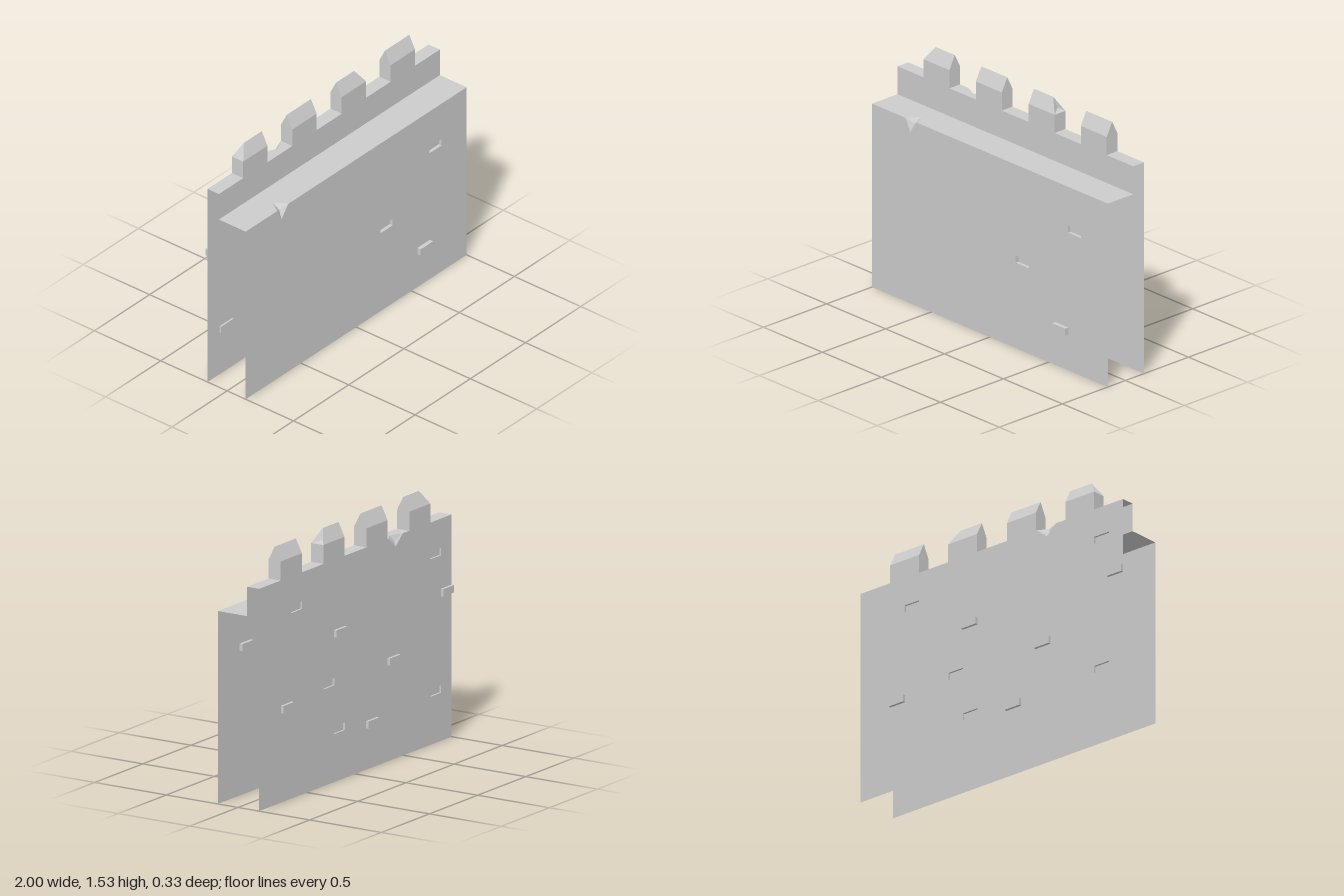
import * as THREE from 'three';

const FRONT = 0.14, PARAPET = -0.062, RIDGE = -0.105, BACK = -0.147;   // z planes
const WALK = 1.157, TOP = 1.333, EAVE = 1.447, PEAK = 1.53;            // heights
const BW = 0.112, BH = 0.044;                                          // brick face

// x range of each merlon, plus where its ridge starts and ends
const merlons = [
  { x0: -0.78, x1: -0.56, r0: -0.722, r1: -0.56 },
  { x0: -0.335, x1: -0.115, r0: -0.335, r1: -0.115 },
  { x0: 0.112, x1: 0.333, r0: 0.112, r1: 0.275, pit: [0.295, 1.465, -0.122] },
  { x0: 0.555, x1: 0.775, r0: 0.555, r1: 0.775 },
];

// brick centres on each face
const frontSunk = [[0.718, 0.89], [0.275, 0.56]];
const frontRaised = [[0.61, 0.248]];
const backSunk = [[0.61, 1.135], [0.275, 0.602], [0.165, 0.31], [-0.835, 1.135], [-0.835, 0.31]];
const backRaised = [[0.165, 0.89], [0.718, 0.56], [-0.39, 0.598], [-0.167, 0.27], [-0.944, 0.89]];

const material = new THREE.MeshStandardMaterial({
  color: 0xcccccc, flatShading: true, side: THREE.DoubleSide,
});

function flip(geometry) {
  const a = geometry.index.array;
  for (let i = 0; i < a.length; i += 3) [a[i], a[i + 1]] = [a[i + 1], a[i]];
  geometry.computeVertexNormals();
  return geometry;
}

function addMesh(group, name, geometry) {
  const mesh = new THREE.Mesh(geometry, material);
  mesh.name = name;
  group.add(mesh);
}

// flat polygons given as corner loops, counter-clockwise from outside
function facets(polygons) {
  const p = [];
  for (const c of polygons)
    for (let i = 1; i < c.length - 1; i++) p.push(...c[0], ...c[i], ...c[i + 1]);
  const g = new THREE.BufferGeometry();
  g.setAttribute('position', new THREE.Float32BufferAttribute(p, 3));
  g.computeVertexNormals();
  return g;
}

const toShape = (pts) => new THREE.Shape(pts.map(([x, y]) => new THREE.Vector2(x, y)));

// upright sheet with brick-sized openings
function sheet(outline, openings, z, facingBack) {
  const shape = toShape(outline);
  for (const [x, y] of openings) {
    const w = BW / 2, h = BH / 2;
    shape.holes.push(toShape([[x - w, y - h], [x - w, y + h], [x + w, y + h], [x + w, y - h]]));
  }
  const g = new THREE.ShapeGeometry(shape).translate(0, 0, z);
  return facingBack ? flip(g) : g;
}

// level sheet from x, z corners
function floor(outline, y) {
  const shape = toShape(outline.map(([x, z]) => [x, -z]));
  return new THREE.ShapeGeometry(shape).rotateX(-Math.PI / 2).translate(0, y, 0);
}

// five-sided brick: its face is at z1, its sides run back to the wall at z0
function brick([x, y], z0, z1) {
  const w = BW / 2, h = BH / 2;
  const ring = [[x - w, y - h], [x + w, y - h], [x + w, y + h], [x - w, y + h]];
  const sides = ring.map((a, i) => {
    const b = ring[(i + 1) % 4];
    return [[...a, z0], [...b, z0], [...b, z1], [...a, z1]];
  });
  const faces = [ring.map((c) => [...c, z1]), ...sides];
  return facets(z0 * (z1 > z0 ? 1 : -1) > 0 === z0 > 0 && z0 > 0 ? faces : faces.map((f) => f.reverse()));
}

// outline of a crenellated wall; gapEdge adds points along the first gap
function battlement(bottom, gapEdge = []) {
  const pts = [[-1, bottom], [1, bottom], [1, TOP]];
  for (let i = merlons.length - 1; i >= 0; i--) {
    const { x0, x1 } = merlons[i];
    pts.push([x1, TOP], [x1, EAVE], [x0, EAVE], [x0, TOP]);
    if (i === 1) pts.push(...gapEdge);
  }
  return [...pts, [-1, TOP]];
}

function merlonCap({ x0, x1, r0, r1, pit }) {
  const a = [x0, EAVE, PARAPET], b = [x1, EAVE, PARAPET];
  const c = [x1, EAVE, BACK], d = [x0, EAVE, BACK];
  const p = [r0, PEAK, RIDGE], q = [r1, PEAK, RIDGE];
  const faces = [
    [a, b, q, p], [c, d, p, q], [d, a, p],
    [[x0, TOP, BACK], [x0, TOP, PARAPET], a, d],
    [[x1, TOP, PARAPET], [x1, TOP, BACK], c, b],
  ];
  if (pit) faces.push([b, c, pit], [c, q, pit], [q, b, pit]);
  else faces.push([b, c, q]);
  return facets(faces);
}

// broken corner: two ends on the edge, a tip down the wall, an inner point on top, a deep point
const chip = (l, r, tip, inner, deep) =>
  facets([[l, tip, deep], [tip, r, deep], [r, inner, deep], [inner, l, deep]]);

export function createModel() {
  const model = new THREE.Group();
  model.name = 'castleWall';

  // front wall and walkway with a broken edge
  const fl = [-0.715, WALK, FRONT], fr = [-0.615, WALK, FRONT];
  const ft = [-0.675, 1.08, FRONT], fi = [-0.66, WALK, 0.06];
  addMesh(model, 'frontWall', sheet(
    [[-1, 0], [1, 0], [1, WALK], [fr[0], WALK], [ft[0], ft[1]], [fl[0], WALK], [-1, WALK]],
    frontSunk, FRONT, false));
  addMesh(model, 'walkway', floor(
    [[-1, FRONT], [fl[0], FRONT], [fi[0], fi[2]], [fr[0], FRONT], [1, FRONT], [1, PARAPET], [-1, PARAPET]], WALK));
  addMesh(model, 'walkwayChip', chip(fl, fr, ft, fi, [-0.665, 1.13, 0.112]));

  // parapet front, and back wall with a broken edge
  const bl = [-0.34, TOP, BACK], br = [-0.49, TOP, BACK];
  const bt = [-0.42, 1.27, BACK], bi = [-0.41, TOP, -0.11];
  addMesh(model, 'parapetFront', sheet(battlement(WALK), [], PARAPET, false));
  addMesh(model, 'backWall', sheet(
    battlement(0, [[bl[0], TOP], [bt[0], bt[1]], [br[0], TOP]]), backSunk, BACK, true));
  addMesh(model, 'parapetChip', chip(bl, br, bt, bi, [-0.425, 1.295, -0.132]));

  // parapet top between the merlons
  for (let i = 0; i <= merlons.length; i++) {
    const a = i ? merlons[i - 1].x1 : -1;
    const b = i < merlons.length ? merlons[i].x0 : 1;
    const notch = i === 1 ? [[bl[0], BACK], [bi[0], bi[2]], [br[0], BACK]] : [];
    addMesh(model, 'parapetTop', floor([[a, PARAPET], [b, PARAPET], [b, BACK], ...notch, [a, BACK]], TOP));
  }
  for (const m of merlons) addMesh(model, 'merlon', merlonCap(m));

  // sunken and raised bricks
  for (const c of frontSunk) addMesh(model, 'sunkenBrick', brick(c, FRONT, FRONT - 0.021));
  for (const c of frontRaised) addMesh(model, 'raisedBrick', brick(c, FRONT, FRONT + 0.025));
  for (const c of backSunk) addMesh(model, 'sunkenBrick', brick(c, BACK, BACK + 0.012));
  for (const c of backRaised) addMesh(model, 'raisedBrick', brick(c, BACK, BACK - 0.017));
  return model;
}
